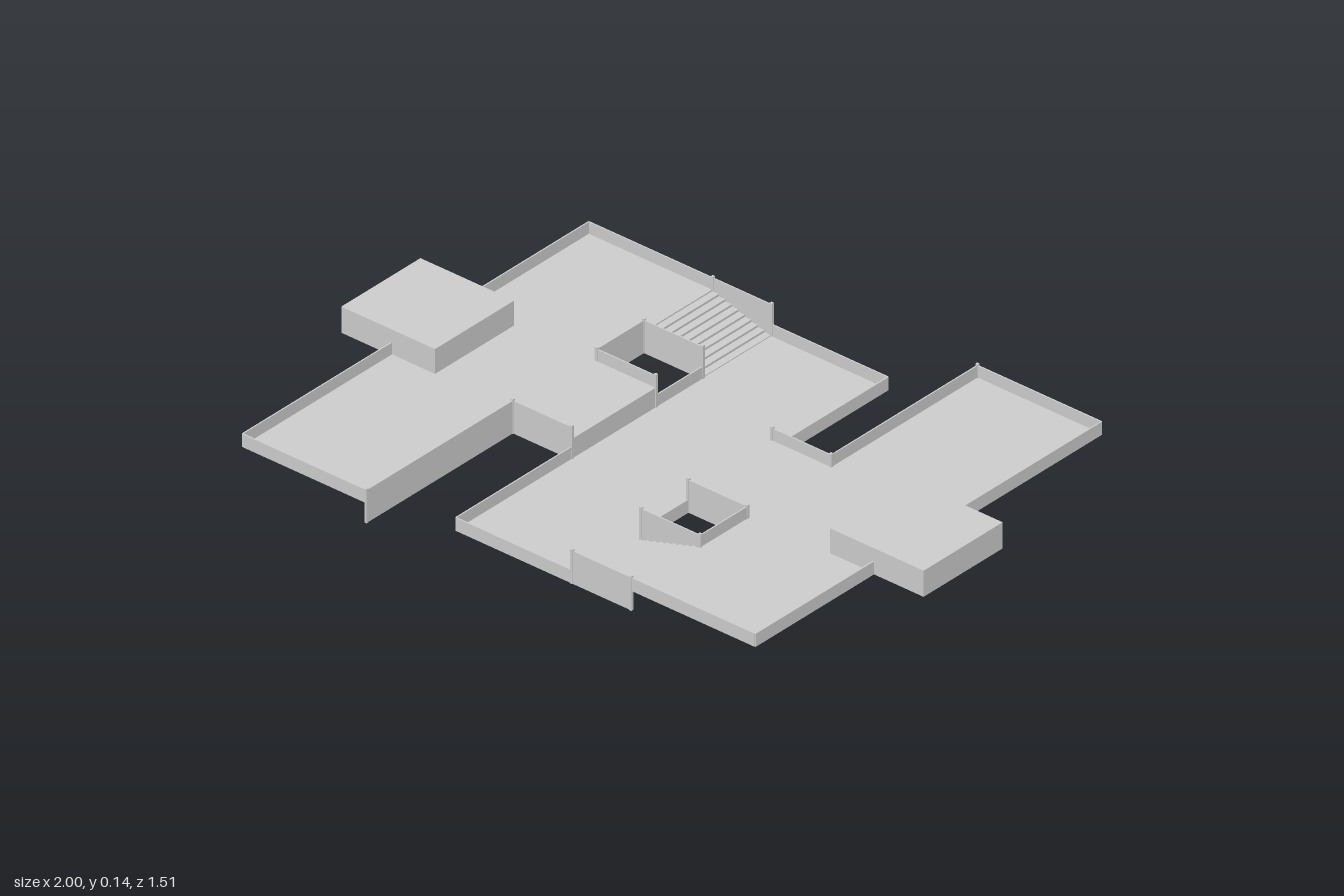
import * as THREE from 'three';

const LOW = 0, HIGH = 0.06, RAIL = 0.04, T = 0.004;
const mat = new THREE.MeshStandardMaterial({ color: 0xcccccc, flatShading: true, side: THREE.DoubleSide });

// Box given by its minimum and maximum corners
function block(parent, name, x0, x1, y0, y1, z0, z1) {
  const mesh = new THREE.Mesh(new THREE.BoxGeometry(x1 - x0, y1 - y0, z1 - z0), mat);
  mesh.position.set((x0 + x1) / 2, (y0 + y1) / 2, (z0 + z1) / 2);
  mesh.name = name;
  parent.add(mesh);
}
const floor = (g, name, x0, x1, z0, z1, y) => block(g, name, x0, x1, y, y + T, z0, z1);
const wallX = (g, name, x, z0, z1, y0, y1) => block(g, name, x - T / 2, x + T / 2, y0, y1, z0, z1);
const wallZ = (g, name, z, x0, x1, y0, y1) => block(g, name, x0, x1, y0, y1, z - T / 2, z + T / 2);

// Thin folded flight of steps going down along +x
function stairs(x0, x1, z0, z1, count) {
  const run = (x1 - x0) / count, rise = (HIGH - LOW) / count, profile = [];
  for (let i = 0; i < count; i++) {
    const y = HIGH - i * rise;
    profile.push([x0 + i * run, y], [x0 + (i + 1) * run, y]);
  }
  profile.push([x1, LOW]);
  const pos = [], index = [];
  profile.forEach(([x, y], i) => {
    pos.push(x, y, z0, x, y, z1);
    if (i) {
      const a = 2 * i - 2;
      index.push(a, a + 1, a + 2, a + 1, a + 3, a + 2);
    }
  });
  const geo = new THREE.BufferGeometry();
  geo.setAttribute('position', new THREE.Float32BufferAttribute(pos, 3));
  geo.setIndex(index);
  const flat = geo.toNonIndexed();
  flat.computeVertexNormals();
  const mesh = new THREE.Mesh(flat, mat);
  mesh.name = 'stairs';
  return mesh;
}

// One raised wing with its stairs, balcony, hut and share of the centre walls
function wing(name) {
  const g = new THREE.Group();
  g.name = name;
  const out = -0.828, inn = -0.402, mid = -0.2;
  const back = -0.63, front = 0.752, holeA = -0.355, holeB = -0.167, ledge = 0.168;
  const top = HIGH + RAIL;

  // Raised floor and balcony
  floor(g, 'wingFloor', out, inn, back, front, HIGH);
  floor(g, 'balconyFloor', inn, mid, holeB, ledge, HIGH);
  wallX(g, 'balconyDrop', mid, holeB, ledge, LOW, HIGH + T);
  g.add(stairs(inn, mid, back, holeA, 9));

  // Parapets around the raised floor
  wallX(g, 'outerParapet', out, back, front, HIGH, top);
  wallZ(g, 'frontParapet', front, out, inn, HIGH, top);
  wallZ(g, 'backParapet', back, out, inn, HIGH, top);

  // Full-height walls by the gap, hole, stairs and balcony
  wallX(g, 'gapWall', inn, ledge, front, LOW, top);
  wallX(g, 'holeWall', inn, holeA, holeB, LOW, top);
  for (const z of [back, holeA]) wallZ(g, 'stairWall', z, inn, mid, LOW, top);
  for (const z of [holeB, ledge]) wallZ(g, 'balconyWall', z, inn, mid, LOW, top);

  // Low walls of the sunken centre
  wallX(g, 'lowSideWall', mid, ledge, -back, LOW, RAIL);
  wallX(g, 'lowHoleWall', mid, holeA, holeB, LOW, RAIL);
  wallZ(g, 'lowEndWall', back, mid, -mid, LOW, RAIL);

  // Slim corner posts
  const post = (x, z) => block(g, 'cornerPost', x - 0.004, x + 0.004, LOW, top + 0.005, z - 0.004, z + 0.004);
  for (const z of [back, holeA, holeB, ledge]) for (const x of [inn, mid]) post(x, z);
  post(inn, front);

  // Hut with an open underside
  const hx0 = -1, hx1 = -0.678, hz = 0.158, hTop = 0.14;
  floor(g, 'hutRoof', hx0, hx1, -hz, hz, hTop - T);
  for (const x of [hx0 + T / 2, hx1 - T / 2]) wallX(g, 'hutSide', x, -hz, hz, HIGH, hTop);
  for (const z of [-hz + T / 2, hz - T / 2]) wallZ(g, 'hutEnd', z, hx0, hx1, HIGH, hTop);
  return g;
}

export function createModel() {
  const model = new THREE.Group();
  model.name = 'arena';
  floor(model, 'centreFloor', -0.2, 0.2, -0.63, 0.63, LOW);
  const right = wing('rightWing'), left = wing('leftWing');
  left.rotation.y = Math.PI;
  model.add(right, left);
  return model;
}
